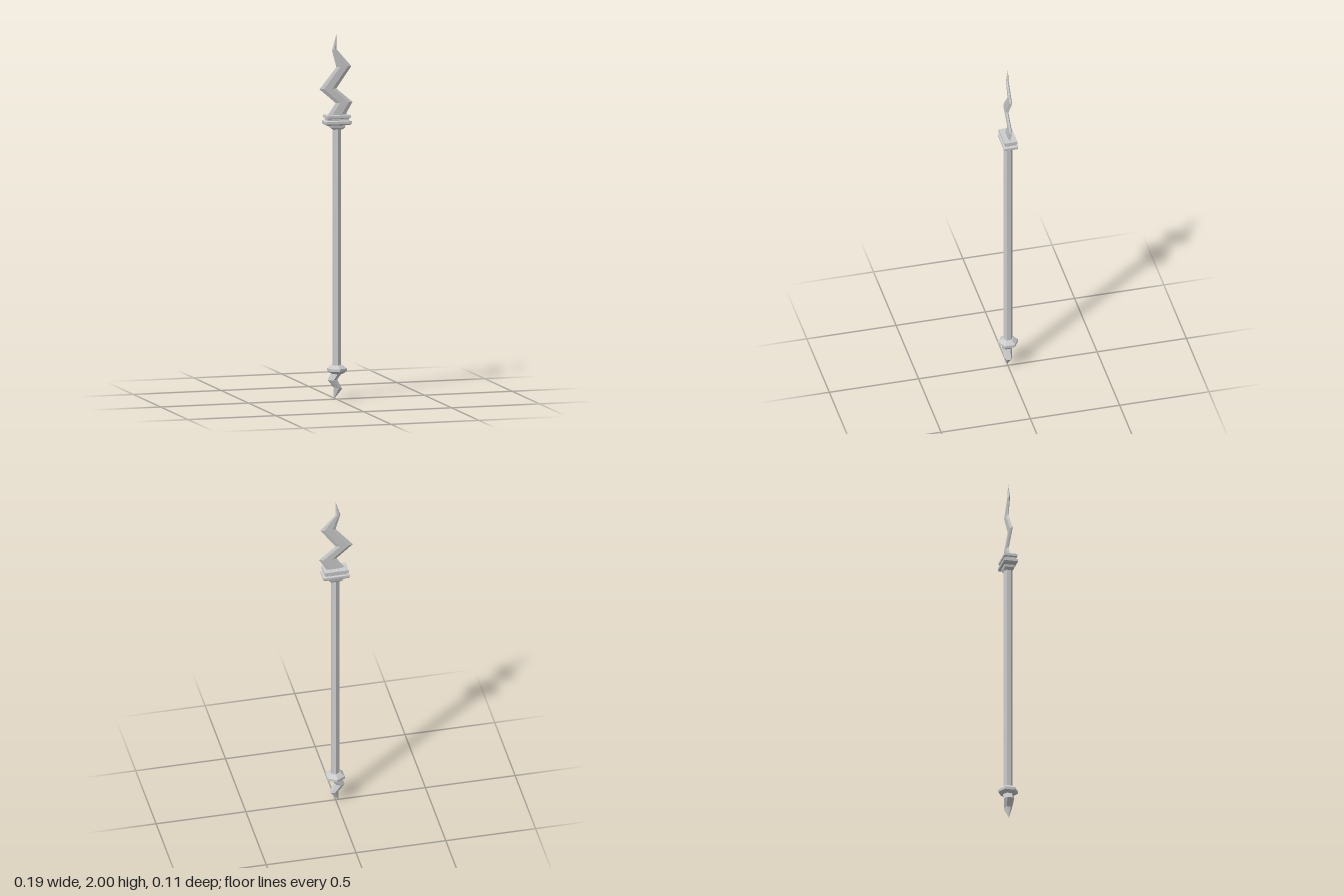
import * as THREE from 'three';

const material = new THREE.MeshStandardMaterial({ color: 0xcccccc, flatShading: true });
const AXIS_X = 0.003;

// Skin a stack of rings (bottom to top, each counterclockwise seen from above) and cap both ends.
function loft(rings) {
  const pos = [];
  const tri = (a, b, c) => pos.push(...a, ...b, ...c);
  const n = rings[0].length;
  for (let r = 0; r < rings.length - 1; r++) {
    const a = rings[r], b = rings[r + 1];
    for (let i = 0; i < n; i++) {
      const j = (i + 1) % n;
      tri(a[i], a[j], b[j]);
      tri(a[i], b[j], b[i]);
    }
  }
  const bottom = rings[0], top = rings[rings.length - 1];
  for (let i = 1; i < n - 1; i++) {
    tri(bottom[0], bottom[i + 1], bottom[i]);
    tri(top[0], top[i], top[i + 1]);
  }
  const g = new THREE.BufferGeometry();
  g.setAttribute('position', new THREE.Float32BufferAttribute(pos, 3));
  g.computeVertexNormals();
  return g;
}

// Hexagon between a left and a right point, with its corners on the z axis.
function hexRing([lx, ly, rx, ry, depth]) {
  return Array.from({ length: 6 }, (_, i) => {
    const t = (i * Math.PI) / 3;
    const k = 0.5 + Math.sin(t) / Math.sqrt(3);
    return [lx + (rx - lx) * k, ly + (ry - ly) * k, Math.cos(t) * depth];
  });
}

// Flat blade section with sharp, bevelled left and right edges.
function bladeRing([lx, ly, rx, ry, depth]) {
  return [[0, 0], [0.25, 1], [0.75, 1], [1, 0], [0.75, -1], [0.25, -1]].map(
    ([k, s]) => [lx + (rx - lx) * k, ly + (ry - ly) * k, s * depth]);
}

function rectRing([y, w, d]) {
  return [[-1, 1], [1, 1], [1, -1], [-1, -1]].map(([sx, sz]) => [AXIS_X + sx * w, y, sz * d]);
}

export function createModel() {
  const group = new THREE.Group();
  const add = (name, geometry) => {
    const mesh = new THREE.Mesh(geometry, material);
    mesh.name = name;
    group.add(mesh);
    return mesh;
  };

  // Hexagonal shaft
  const shaft = add('shaft', new THREE.CylinderGeometry(0.024, 0.024, 1.33, 6));
  shaft.position.set(AXIS_X, 0.825, 0);

  // Bevelled hexagonal pommel
  const pommelProfile = [[0, 0.14], [0.032, 0.14], [0.055, 0.155], [0.055, 0.17], [0.032, 0.188], [0, 0.188]]
    .map(([r, y]) => new THREE.Vector2(r, y));
  add('pommel', new THREE.LatheGeometry(pommelProfile, 6)).position.x = AXIS_X;

  // Zigzag spike: left x, left y, right x, right y, half depth
  add('bottomSpike', loft([
    [-0.016, 0, -0.015, 0, 0.001],
    [-0.014, 0.066, 0.03, 0.058, 0.022],
    [-0.046, 0.107, 0.0, 0.11, 0.028],
    [-0.026, 0.143, 0.026, 0.143, 0.03],
  ].map(hexRing)));

  // Stepped rectangular collar: height, half width, half depth
  add('collar', loft([
    [1.482, 0.024, 0.022],
    [1.492, 0.038, 0.027],
    [1.506, 0.04, 0.029],
    [1.508, 0.066, 0.035],
    [1.514, 0.073, 0.039],
    [1.528, 0.073, 0.039],
    [1.532, 0.06, 0.031],
    [1.542, 0.06, 0.031],
    [1.546, 0.068, 0.036],
    [1.56, 0.068, 0.036],
  ].map(rectRing)));

  // Lightning-shaped blade: left x, left y, right x, right y, half depth
  add('blade', loft([
    [-0.053, 1.555, 0.05, 1.555, 0.007],
    [-0.004, 1.625, 0.092, 1.628, 0.007],
    [-0.096, 1.705, 0.0, 1.705, 0.007],
    [0.0, 1.822, 0.085, 1.825, 0.007],
    [-0.026, 1.915, 0.0, 1.922, 0.006],
    [-0.001, 2, 0.0, 2, 0.0005],
  ].map(bladeRing)));

  return group;
}
